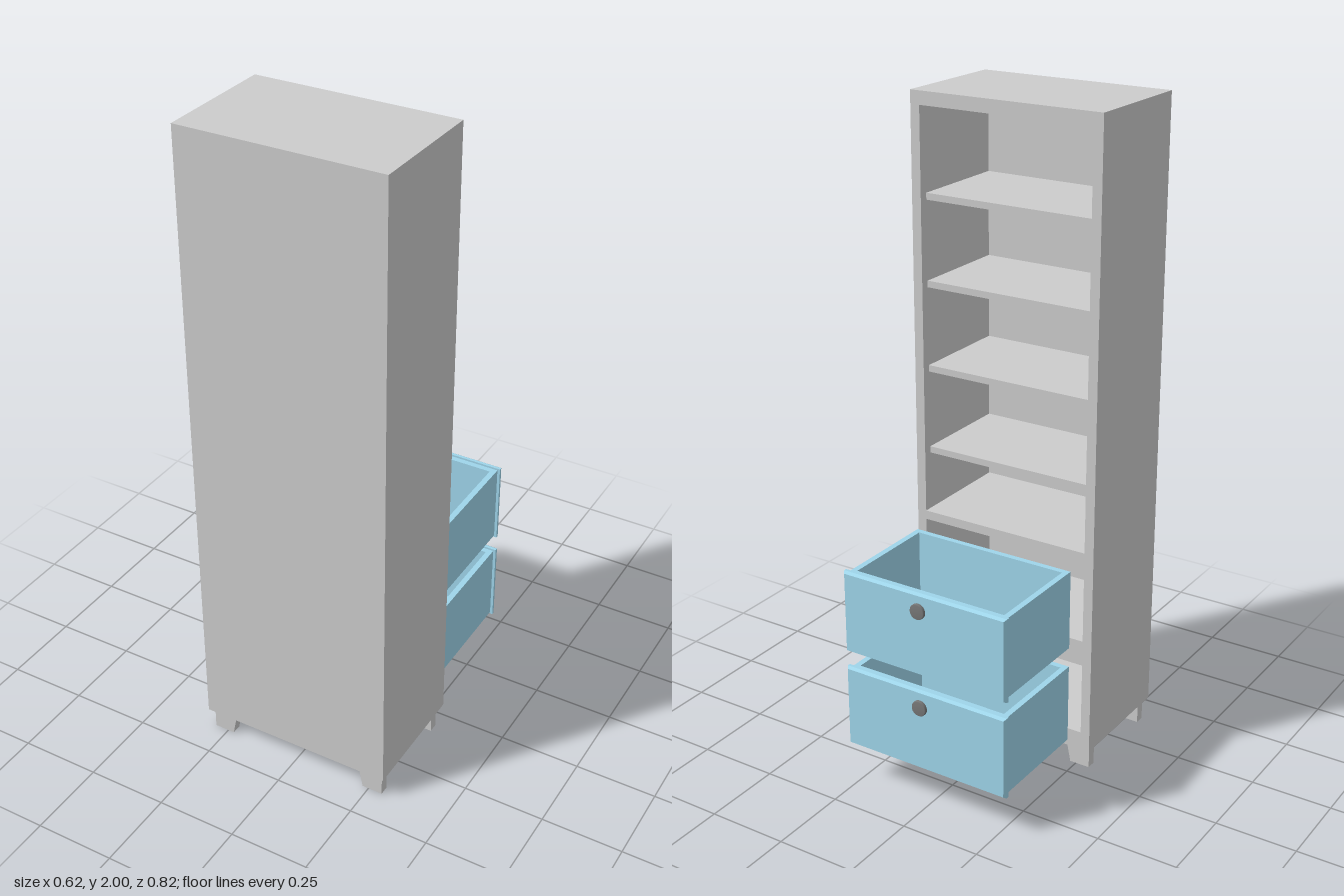
import * as THREE from 'three';

const grey = new THREE.MeshStandardMaterial({ color: 0xcccccc });
const blue = new THREE.MeshStandardMaterial({ color: 0x9ed5ea });
const dark = new THREE.MeshStandardMaterial({ color: 0x777777 });

function add(parent, name, geometry, material, x = 0, y = 0, z = 0) {
  const mesh = new THREE.Mesh(geometry, material);
  mesh.name = name;
  mesh.position.set(x, y, z);
  parent.add(mesh);
  return mesh;
}

// Rectangle outline, from corner to corner
function rect(Kind, x0, y0, x1, y1) {
  return new Kind([[x0, y0], [x1, y0], [x1, y1], [x0, y1]].map(p => new THREE.Vector2(...p)));
}

const extrude = (shape, depth) => new THREE.ExtrudeGeometry(shape, { depth, bevelEnabled: false });

// Drawer face: a slab whose outer (-z) edge is chamfered
function chamferedFace(w, h, d, inset) {
  const geo = new THREE.BoxGeometry(w, h, d, 1, 1, 2).toNonIndexed();
  const p = geo.attributes.position;
  for (let i = 0; i < p.count; i++) {
    if (p.getZ(i) > -d / 4) continue;
    p.setX(i, p.getX(i) - Math.sign(p.getX(i)) * inset);
    p.setY(i, p.getY(i) - Math.sign(p.getY(i)) * inset);
  }
  geo.computeVertexNormals();
  return geo;
}

function createDrawer(bottom) {
  const drawer = new THREE.Group();
  drawer.name = 'drawer';
  const w = 0.535, h = 0.248, d = 0.343, t = 0.018;

  // Four walls as one ring, standing upright
  const ring = rect(THREE.Shape, -w / 2, -d / 2, w / 2, d / 2);
  ring.holes.push(rect(THREE.Path, -w / 2 + t, -d / 2 + t, w / 2 - t, d / 2 - t));
  const walls = add(drawer, 'drawerWalls', extrude(ring, h), blue, 0, 0, -0.205);
  walls.rotation.x = -Math.PI / 2;
  add(drawer, 'drawerFloor', new THREE.BoxGeometry(w - 2 * t, t, d - 2 * t), blue, 0, t / 2, -0.205);
  add(drawer, 'drawerFace', chamferedFace(0.552, 0.26, 0.018, 0.006), blue, 0, h / 2, -0.385);

  // Round knob with a short neck and softened rim
  const profile = [[0.016, 0], [0.016, 0.003], [0.022, 0.004], [0.024, 0.006], [0.024, 0.013], [0.022, 0.016], [0, 0.016]];
  const knobGeo = new THREE.LatheGeometry(profile.map(p => new THREE.Vector2(...p)), 24);
  const knob = add(drawer, 'knob', knobGeo, dark, 0.008, 0.205, -0.394);
  knob.rotation.x = -Math.PI / 2;

  drawer.position.set(-0.002, bottom, 0);
  return drawer;
}

export function createModel() {
  const model = new THREE.Group();
  model.name = 'cabinet';

  // Carcass: outer box with a tall open bay and two drawer bays
  const shell = rect(THREE.Shape, -0.308, 0.072, 0.308, 2);
  for (const [y0, y1] of [[0.13, 0.39], [0.44, 0.7], [0.728, 1.96]]) {
    shell.holes.push(rect(THREE.Path, -0.278, y0, 0.278, y1));
  }
  add(model, 'carcass', extrude(shell, 0.352), grey, 0, 0, 0.03);
  add(model, 'rearPanel', new THREE.BoxGeometry(0.616, 1.928, 0.028), grey, 0, 1.036, 0.396);

  // Shelves, set back a little from the opening
  for (let i = 0; i < 4; i++) {
    add(model, 'shelf', new THREE.BoxGeometry(0.556, 0.02, 0.325), grey, 0, 0.92 + i * 0.259, 0.2195);
  }

  // Four feet, tapered on the inner side
  const foot = new THREE.Shape([[0.295, 0], [0.295, 0.073], [0.215, 0.073], [0.23, 0]].map(p => new THREE.Vector2(...p)));
  const footGeo = extrude(foot, 0.03);
  for (const z of [0.054, 0.364]) {
    add(model, 'foot', footGeo, grey, 0, 0, z);
    add(model, 'foot', footGeo, grey, 0, 0, z + 0.03).rotation.y = Math.PI;
  }

  // Two drawers, pulled fully clear of the cabinet
  for (const y of [0.136, 0.446]) model.add(createDrawer(y));
  return model;
}
